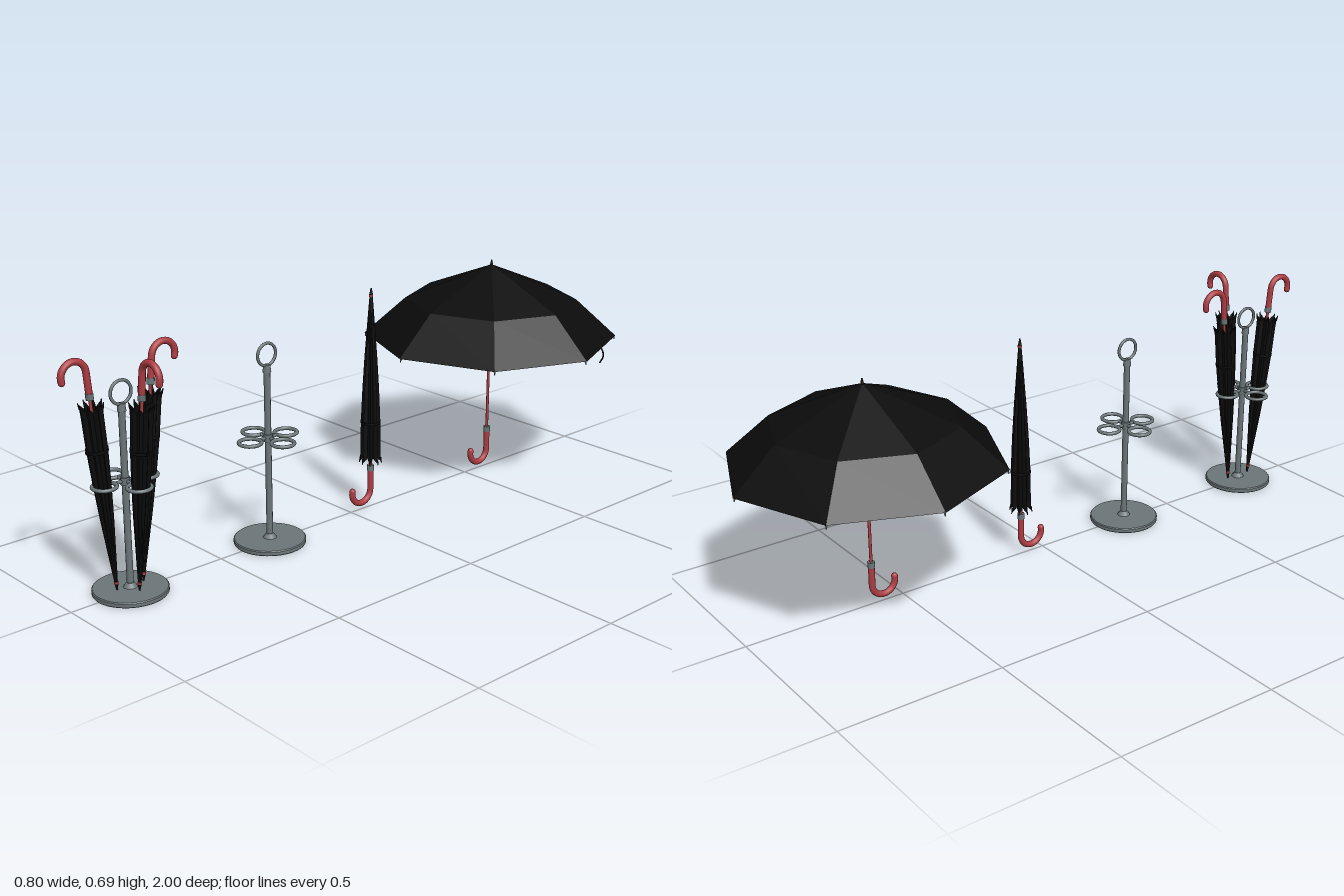
import * as THREE from 'three';

const material = (color, opts = {}) => {
  const m = new THREE.MeshStandardMaterial({ color, ...opts });
  return m;
};
const grey = material(0x6b7578);
const red = material(0xad3c42);
const black = material(0x0b0b0b);
const cloth = material(0x0b0b0b, { flatShading: true, side: THREE.DoubleSide });

const V = (x, y, z) => new THREE.Vector3(x, y, z);
const points = list => list.map(([r, y]) => new THREE.Vector2(r, y));

function add(parent, name, geometry, mat) {
  const mesh = new THREE.Mesh(geometry, mat);
  mesh.name = name;
  parent.add(mesh);
  return mesh;
}

function group(parent, name) {
  const g = new THREE.Group();
  g.name = name;
  if (parent) parent.add(g);
  return g;
}

// Straight round bar between two points
function rod(parent, name, a, b, r, mat, r2 = r) {
  const dir = b.clone().sub(a);
  const mesh = add(parent, name, new THREE.CylinderGeometry(r2, r, dir.length(), 10), mat);
  mesh.position.copy(a).lerp(b, 0.5);
  mesh.quaternion.setFromUnitVectors(V(0, 1, 0), dir.normalize());
  return mesh;
}

// Curved grip, collar, shaft and top ferrule, shared by open and closed umbrellas
function addStick(parent) {
  const R = 0.0375, cy = 0.058, path = [V(0, 0.125, 0), V(0, 0.105, 0), V(0, 0.08, 0)];
  for (let i = 0; i <= 12; i++) {
    const a = (i / 12) * Math.PI * 1.07;
    path.push(V(0, cy - R * Math.sin(a), R - R * Math.cos(a)));
  }
  const curve = new THREE.CatmullRomCurve3(path);
  add(parent, 'handle', new THREE.TubeGeometry(curve, 40, 0.0095, 12), red);
  const end = add(parent, 'handleEnd', new THREE.SphereGeometry(0.0095, 12, 8), red);
  end.position.copy(path[path.length - 1]);
  rod(parent, 'collar', V(0, 0.117, 0), V(0, 0.135, 0), 0.0108, grey);
  rod(parent, 'shaft', V(0, 0.125, 0), V(0, 0.67, 0), 0.0045, red);
  rod(parent, 'ferruleRing', V(0, 0.664, 0), V(0, 0.671, 0), 0.0062, red);
  rod(parent, 'ferrule', V(0, 0.671, 0), V(0, 0.69, 0), 0.0055, black, 0.002);
}

function openUmbrella() {
  const g = group(null, 'openUmbrella');
  addStick(g);
  const profile = [[0.4, 0.447], [0.27, 0.565], [0.002, 0.675]];
  add(g, 'canopy', new THREE.LatheGeometry(points(profile), 8), cloth);

  // Ribs under each fold, stretchers and rim tips
  const ribs = group(g, 'ribs');
  for (let i = 0; i < 8; i++) {
    const rib = group(ribs, 'rib');
    rib.rotation.y = (i * Math.PI) / 4;
    rod(rib, 'innerRib', V(0, 0.667, 0.005), V(0, 0.559, 0.268), 0.0025, grey);
    rod(rib, 'outerRib', V(0, 0.559, 0.268), V(0, 0.444, 0.394), 0.003, grey);
    rod(rib, 'stretcher', V(0, 0.6, 0.008), V(0, 0.598, 0.168), 0.002, grey);
    rod(rib, 'ribTip', V(0, 0.449, 0.394), V(0, 0.436, 0.397), 0.0035, grey, 0.0015);
  }
  rod(g, 'runner', V(0, 0.585, 0), V(0, 0.61, 0), 0.009, grey);

  // Closing strap hanging from the middle of one panel
  const strap = new THREE.CatmullRomCurve3([
    V(0.336, 0.452, -0.14), V(0.345, 0.438, -0.143), V(0.347, 0.42, -0.144), V(0.338, 0.399, -0.14),
  ]);
  add(g, 'strap', new THREE.TubeGeometry(strap, 12, 0.0025, 6), black);
  return g;
}

function closedUmbrella() {
  const g = group(null, 'closedUmbrella');
  addStick(g);

  // Pleated cloth: eight sharp folds, ragged at the lower hem
  const profile = [
    [0.032, 0.155], [0.0305, 0.18], [0.0295, 0.275], [0.025, 0.38],
    [0.019, 0.48], [0.0115, 0.58], [0.0065, 0.645], [0.0045, 0.668],
  ];
  const canopy = new THREE.LatheGeometry(points(profile), 32);
  const p = canopy.attributes.position;
  for (let i = 0; i < p.count; i++) {
    const x = p.getX(i), y = p.getY(i), z = p.getZ(i);
    const wave = Math.cos(8 * Math.atan2(x, z));
    const depth = 0.16 * (1 - THREE.MathUtils.smoothstep(y, 0.5, 0.66));
    const k = 1 - depth + depth * wave;
    p.setXYZ(i, x * k, y < 0.156 ? y - 0.008 * wave : y, z * k);
  }
  canopy.computeVertexNormals();
  add(g, 'foldedCanopy', canopy, cloth);

  const tips = group(g, 'ribTips');
  for (let i = 0; i < 8; i++) {
    const tip = group(tips, 'ribTip');
    tip.rotation.y = (i * Math.PI) / 4;
    rod(tip, 'tip', V(0, 0.16, 0.03), V(0, 0.143, 0.034), 0.003, black, 0.0012);
  }

  // Strap wrapped around the folds, with its fastener
  add(g, 'strap', new THREE.CylinderGeometry(0.0305, 0.0305, 0.009, 16, 1, true), cloth).position.y = 0.275;
  const button = add(g, 'strapButton', new THREE.BoxGeometry(0.008, 0.009, 0.005), black);
  button.position.set(0.0, 0.275, 0.0315);
  return g;
}

function umbrellaStand() {
  const g = group(null, 'umbrellaStand');
  const base = [[0, 0], [0.104, 0], [0.1055, 0.002], [0.1055, 0.012], [0.103, 0.015], [0, 0.015]];
  add(g, 'base', new THREE.LatheGeometry(points(base), 48), material(0x6b7578, { flatShading: true }));
  rod(g, 'foot', V(0, 0.014, 0), V(0, 0.028, 0), 0.021, grey, 0.011);
  rod(g, 'pole', V(0, 0.015, 0), V(0, 0.53, 0), 0.0095, grey);
  rod(g, 'poleCap', V(0, 0.518, 0), V(0, 0.54, 0), 0.0125, grey, 0.01);
  rod(g, 'holderHub', V(0, 0.312, 0), V(0, 0.334, 0), 0.0135, grey);

  // Carrying ring on top
  const ring = add(g, 'carryRing', new THREE.TorusGeometry(0.0325, 0.0045, 10, 36), grey);
  ring.rotation.y = Math.PI / 2;
  ring.position.y = 0.57;

  // Four holding rings around the pole
  for (let i = 0; i < 4; i++) {
    const holder = group(g, 'holder');
    holder.rotation.y = (i * Math.PI) / 2;
    const loop = add(holder, 'holdingRing', new THREE.TorusGeometry(0.0325, 0.0055, 10, 32), grey);
    loop.rotation.x = Math.PI / 2;
    loop.position.set(0, 0.323, 0.0655);
    rod(holder, 'holderArm', V(0, 0.323, 0.005), V(0, 0.323, 0.034), 0.005, grey);
  }
  return g;
}

export function createModel() {
  const model = group(null, 'umbrellaSet');

  const open = openUmbrella();
  open.position.z = -0.6;
  const closed = closedUmbrella();
  closed.position.z = -0.08;
  const emptyStand = umbrellaStand();
  emptyStand.position.z = 0.32;
  const fullStand = umbrellaStand();
  fullStand.position.z = 0.81;
  model.add(open, closed, emptyStand, fullStand);

  // Upside-down umbrellas leaning outward in three of the four rings
  for (const turn of [0, Math.PI / 2, Math.PI]) {
    const slot = group(fullStand, 'storedUmbrella');
    slot.rotation.y = turn;
    const lean = group(slot, 'lean');
    lean.position.set(0, 0.018, 0.043);
    lean.rotation.x = 0.093;
    const umbrella = closedUmbrella();
    umbrella.rotation.z = Math.PI;
    umbrella.position.y = 0.69;
    lean.add(umbrella);
  }
  return model;
}
